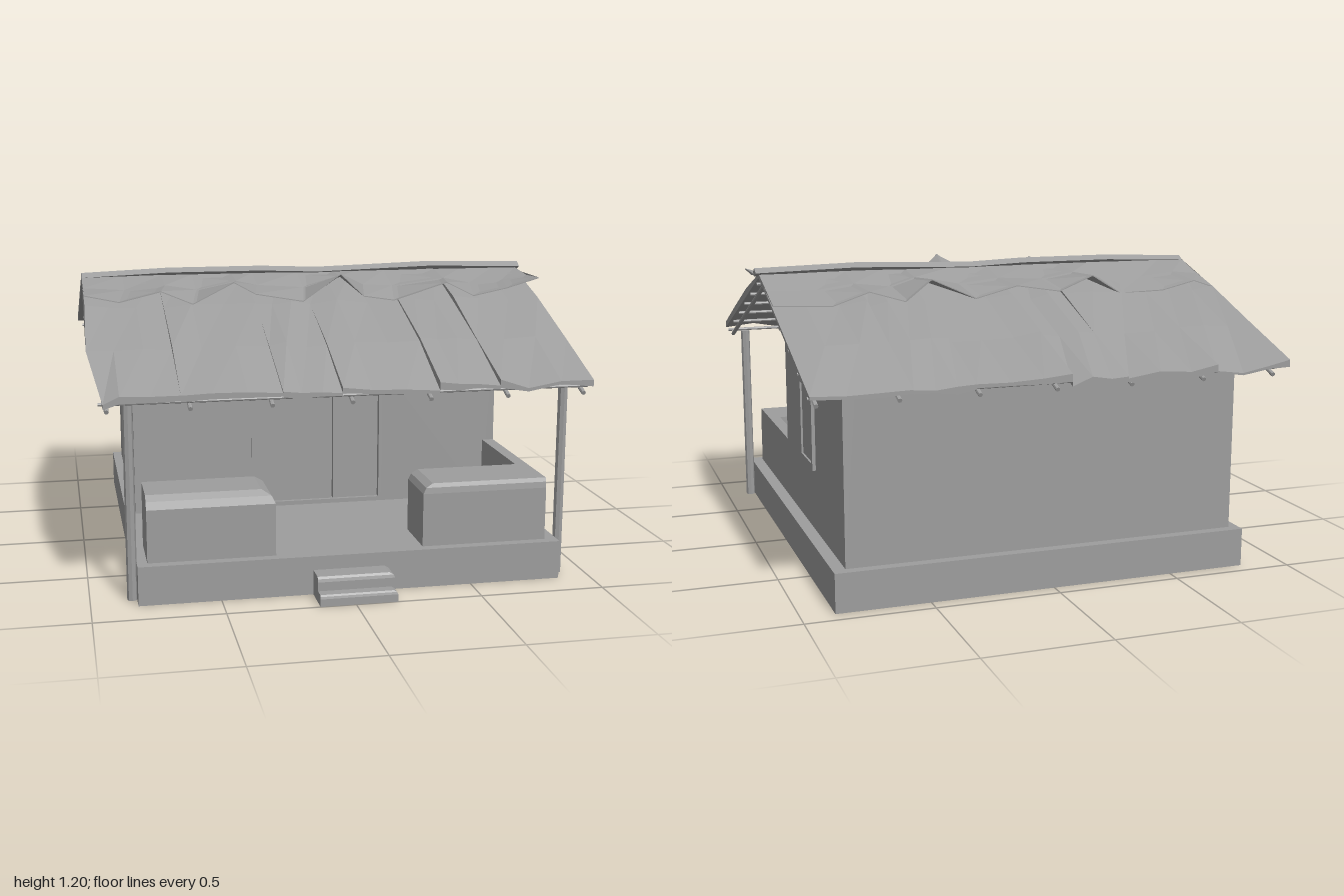
import * as THREE from 'three';

const mat = new THREE.MeshStandardMaterial({ color: 0x9d9d9d, flatShading: true, side: THREE.DoubleSide });

function add(parent, name, geo, x = 0, y = 0, z = 0) {
  const m = new THREE.Mesh(geo, mat);
  m.name = name;
  m.position.set(x, y, z);
  parent.add(m);
  return m;
}

// Box given by its limits
function block(parent, name, x0, x1, y0, y1, z0, z1) {
  return add(parent, name, new THREE.BoxGeometry(x1 - x0, y1 - y0, z1 - z0),
    (x0 + x1) / 2, (y0 + y1) / 2, (z0 + z1) / 2);
}

// Extruded outline with rectangular holes [u0, u1, v0, v1]
function plate(outline, holes, depth) {
  const shape = new THREE.Shape(outline.map(p => new THREE.Vector2(...p)));
  for (const [a, b, c, d] of holes)
    shape.holes.push(new THREE.Path([[a, c], [a, d], [b, d], [b, c]].map(p => new THREE.Vector2(...p))));
  return new THREE.ExtrudeGeometry(shape, { depth, bevelEnabled: false });
}
const rect = (a, b, c, d) => [[a, c], [b, c], [b, d], [a, d]];

// Skin over equal-length closed rings of points, with chosen end caps
function loft(rings, capStart, capEnd) {
  const n = rings[0].length, idx = [];
  for (let i = 0; i + 1 < rings.length; i++)
    for (let j = 0; j < n; j++) {
      const a = i * n + j, b = i * n + (j + 1) % n;
      idx.push(a, b, b + n, a, b + n, a + n);
    }
  const last = (rings.length - 1) * n;
  for (let j = 1; j + 1 < n; j++) {
    if (capStart) idx.push(0, j + 1, j);
    if (capEnd) idx.push(last, last + j, last + j + 1);
  }
  const g = new THREE.BufferGeometry();
  g.setAttribute('position', new THREE.Float32BufferAttribute(rings.flat(2), 3));
  g.setIndex(idx);
  const flat = g.toNonIndexed();
  flat.computeVertexNormals();
  return flat;
}

// Thin round pole between two points
function pole(parent, name, a, b, r) {
  const p = new THREE.Vector3(...a), q = new THREE.Vector3(...b);
  const m = add(parent, name, new THREE.CylinderGeometry(r, r, p.distanceTo(q), 8));
  m.position.copy(p).add(q).multiplyScalar(0.5);
  m.quaternion.setFromUnitVectors(new THREE.Vector3(0, 1, 0), q.sub(p).normalize());
}

let seed = 7;
const jitter = s => {
  seed = (seed * 16807) % 2147483647;
  return (seed / 2147483647 - 0.5) * 2 * s;
};

function group(parent, name) {
  const g = new THREE.Group();
  g.name = name;
  parent.add(g);
  return g;
}

// Clay block, open below, with worn upper edges: left, right and front cuts
function wornBlock(parent, name, x0, x1, y0, y1, z0, z1, [l, r, f]) {
  const ring = (y, k) => [[x0 + l * k, y, z1 - f * k], [x1 - r * k, y, z1 - f * k], [x1 - r * k, y, z0], [x0 + l * k, y, z0]];
  const h = Math.max(l, r);
  add(parent, name, loft([ring(y0, 0), ring(y1 - h, 0), ring(y1 - h * 0.4, 0.3), ring(y1, 1)], false, true));
}

// Gable wall with a window; out is the direction of its outer face
function sideWall(parent, name, x, out) {
  const wall = add(parent, name, plate(
    [[-0.155, 0.145], [0.9, 0.145], [0.9, 0.825], [0.04, 1.135], [-0.155, 1.065]],
    [[0.2, 0.41, 0.42, 0.75]], 0.05), x);
  const frame = add(parent, name + 'WindowFrame', plate(rect(0.19, 0.42, 0.41, 0.76),
    [[0.21, 0.4, 0.435, 0.735]], 0.064), x + (out > 0 ? 0 : -0.014));
  wall.rotation.y = frame.rotation.y = Math.PI / 2;
  const px = x + 0.025 + out * 0.027;
  block(parent, name + 'WindowPane', px - 0.004, px + 0.004, 0.43, 0.74, -0.405, -0.205);
}

// One slope of thatch in overlapping bundles; d is +1 towards the front, -1 towards the back
function roofSlope(parent, name, d, profile, under) {
  const seams = [-0.97, -0.65, -0.27, -0.04, 0.34, 0.58, 0.96];
  const rings = [];
  for (let s = 0; s < 6; s++)
    for (const t of [0.001, 0.3, 0.65, 0.999]) {
      const x = seams[s] + (seams[s + 1] - seams[s]) * t;
      const ragged = d > 0 && x < -0.1 ? 0.015 : 0;
      const corner = d > 0 && x < -0.96 ? [0, 0, -0.01, 0.035] : [0, 0, 0, 0];
      const droop = jitter(0.013);
      const top = profile.map(([z, y], k) => [x + corner[k],
        y + (k ? jitter(0.011) - 0.008 * t : 0) + (k === 3 ? droop : 0), z + (k === 3 ? ragged : 0)]);
      const eave = [x + corner[3], under[0][1] + droop, under[0][0] + ragged];
      rings.push([...top, eave, [x, under[1][1], under[1][0]]]);
    }
  add(parent, name, loft(d > 0 ? rings.map(r => [...r].reverse()) : rings, true, true));
}

// Ragged thin layer beside the ridge, lower edge lifted unevenly
function ridgeCap(parent, name, zIn, zOut, heights) {
  const rings = heights.map(([x, y]) => {
    const zm = (zIn + zOut) / 2, ym = 1.115 + (y - 1.08) * 0.4;
    const xo = x - 0.03 * (Math.abs(x) < 0.9);
    return [[x, 1.16, zIn], [x, ym, zm], [xo, y, zOut], [xo, y - 0.004, zOut], [x, ym - 0.004, zm], [x, 1.15, zIn]];
  });
  add(parent, name, loft(zOut > zIn ? rings.map(r => [...r].reverse()) : rings, true, true));
}

export function createModel() {
  const house = new THREE.Group();
  house.name = 'house';

  // Thin hollow plinth with a floor cut away under the room and benches
  const plinth = group(house, 'plinth');
  const outline = rect(-0.82, 0.87, -0.86, 0.94);
  const rim = add(plinth, 'plinthRim', plate(outline, [[-0.815, 0.865, -0.855, 0.935]], 0.15));
  const floor = add(plinth, 'porchFloor', plate(outline,
    [[-0.73, 0.77, -0.105, 0.85], [-0.77, -0.29, -0.81, -0.6], [0.32, 0.81, -0.81, -0.6]], 0.005), 0, 0.15);
  rim.rotation.x = floor.rotation.x = -Math.PI / 2;
  wornBlock(plinth, 'lowerStep', -0.14, 0.165, 0, 0.045, 0.86, 1.0, [0, 0.015, 0.008]);
  wornBlock(plinth, 'upperStep', -0.14, 0.165, 0.04, 0.1, 0.86, 0.95, [0, 0.02, 0.01]);

  // Room walls
  const walls = group(house, 'walls');
  sideWall(walls, 'leftWall', 0.77, 1);
  sideWall(walls, 'rightWall', -0.78, -1);
  block(walls, 'backWall', -0.73, 0.77, 0.145, 0.825, -0.9, -0.85);
  add(walls, 'frontWall', plate(rect(-0.73, 0.77, 0.145, 1.065), [[-0.275, 0.305, 0.16, 0.765]], 0.05), 0, 0, 0.105);

  // Double door with rails on its inner face
  const door = group(house, 'door');
  add(door, 'doorFrame', plate(rect(-0.275, 0.305, 0.16, 0.765), [[-0.262, 0.292, 0.175, 0.742]], 0.06), 0, 0, 0.1);
  for (const [a, b] of [[-0.26, 0.085], [0.09, 0.29]]) {
    block(door, 'doorLeaf', a, b, 0.175, 0.74, 0.128, 0.143);
    for (let i = 0; i < 5; i++) {
      const y = 0.19 + i * 0.133;
      block(door, 'doorRail', a, b, y - 0.012, y + 0.012, 0.116, 0.13);
    }
    for (const x of [a, b - 0.025]) block(door, 'doorStile', x, x + 0.025, 0.175, 0.74, 0.114, 0.13);
  }

  // Porch benches, low side wall and posts
  wornBlock(house, 'rightBench', -0.78, -0.28, 0.15, 0.415, 0.59, 0.82, [0, 0.05, 0.04]);
  wornBlock(house, 'leftBench', 0.31, 0.82, 0.15, 0.41, 0.59, 0.82, [0.04, 0, 0.01]);
  block(house, 'porchSideWall', 0.77, 0.82, 0.15, 0.41, 0.155, 0.6);
  for (const x of [-0.838, 0.89]) pole(house, 'porchPost', [x, 0, 0.78], [x, 0.8, 0.78], 0.02);

  // Roof poles
  const frame = group(house, 'roofFrame');
  for (const [ez, ey] of [[0.9, 0.77], [-0.96, 0.79]]) {
    for (let i = 0; i < 7; i++) {
      const x = -0.92 + i * 0.308;
      pole(frame, 'rafter', [x, 1.125, -0.04], [x, ey, ez], 0.009);
    }
    for (let i = 0; i < 6; i++) {
      const t = 0.08 + i * 0.178;
      const y = 1.125 + (ey - 1.125) * t + 0.014, z = -0.04 + (ez + 0.04) * t;
      pole(frame, 'purlin', [-0.95, y, z], [0.955, y, z], 0.007);
    }
  }

  // Thatch
  const roof = group(house, 'thatch');
  roofSlope(roof, 'frontThatch', 1, [[-0.04, 1.16], [0.28, 1.07], [0.62, 0.955], [0.92, 0.825]],
    [[0.92, 0.8], [-0.04, 1.145]]);
  roofSlope(roof, 'backThatch', -1, [[-0.04, 1.16], [-0.35, 1.065], [-0.67, 0.955], [-1, 0.835]],
    [[-1, 0.815], [-0.04, 1.145]]);
  ridgeCap(roof, 'frontRidgeCap', -0.02, 0.285, [[-0.97, 1.12], [-0.8, 1.09], [-0.63, 1.13], [-0.5, 1.075],
    [-0.33, 1.16], [-0.24, 1.11], [-0.04, 1.075], [0.12, 1.185], [0.22, 1.09], [0.35, 1.07], [0.58, 1.14],
    [0.7, 1.08], [0.85, 1.11], [0.96, 1.15]]);
  ridgeCap(roof, 'backRidgeCap', -0.06, -0.355, [[-0.97, 1.07], [-0.85, 1.1], [-0.7, 1.065], [-0.5, 1.06],
    [-0.37, 1.14], [-0.22, 1.08], [-0.03, 1.11], [0.15, 1.065], [0.34, 1.15], [0.45, 1.065], [0.6, 1.11],
    [0.75, 1.06], [0.96, 1.07]]);
  // Slightly bowed ridge board
  const bow = [[-0.97, 1.165], [-0.6, 1.18], [-0.2, 1.18], [0.05, 1.17], [0.55, 1.185], [0.975, 1.175]];
  add(roof, 'ridgeBoard', loft(bow.map(([x, y]) =>
    [[x, y + 0.01, -0.035], [x, y - 0.008, -0.07], [x, y - 0.025, -0.035], [x, y - 0.008, -0.005]]), true, true));

  return house;
}
